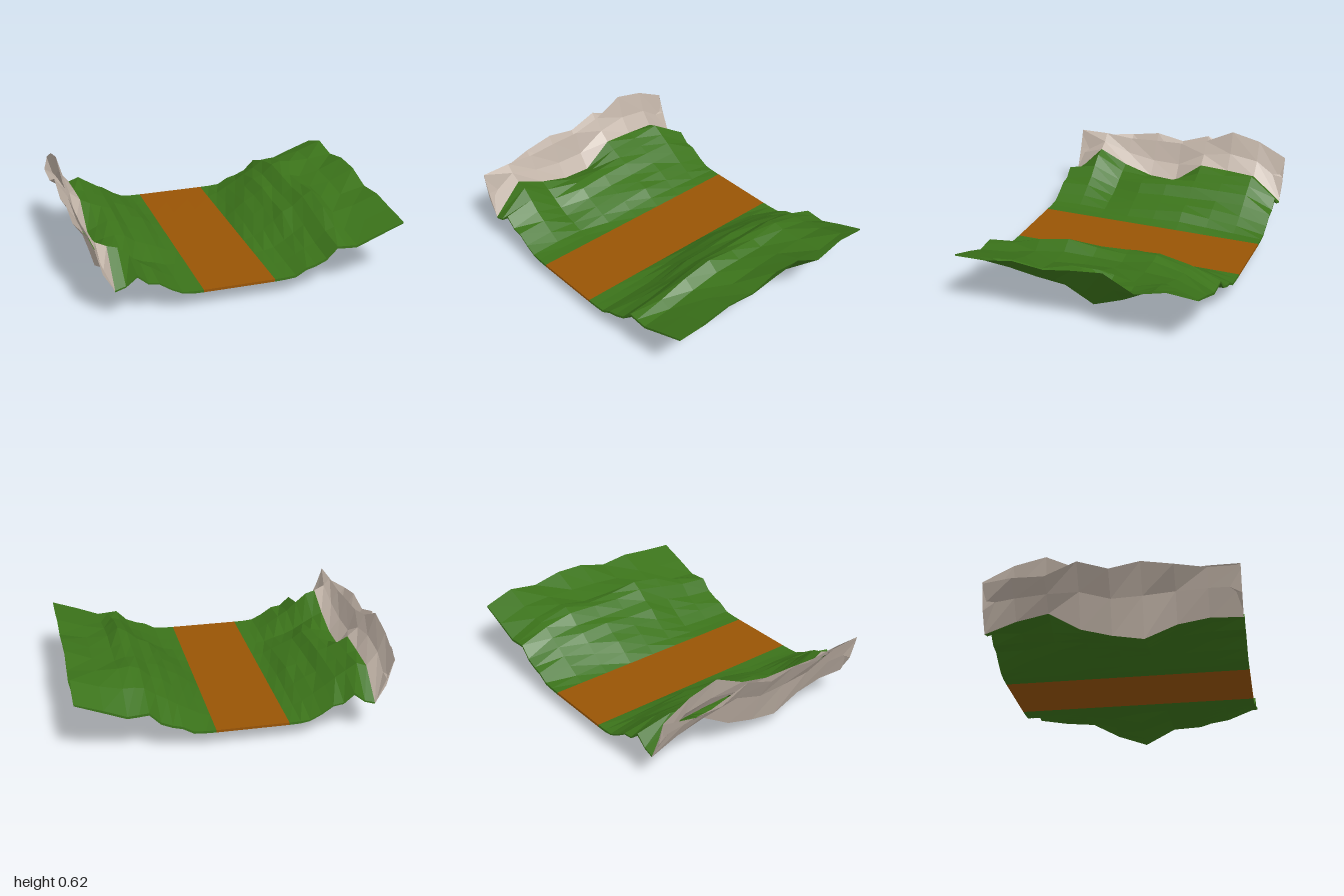
import * as THREE from 'three';

// Shared grid; the last row repeats the first so tiles join
const Z = [-0.77, -0.58, -0.385, -0.19, 0, 0.19, 0.385, 0.575, 0.77];
const LEFT_X = [-0.84, -0.775, -0.705, -0.64, -0.575, -0.5, -0.43, -0.37, -0.3];
const ROAD_X = [-0.3, -0.155, 0, 0.155];
const RIGHT_X = [0.155, 0.22, 0.29, 0.36, 0.42, 0.49, 0.56, 0.62, 0.69, 0.83, 1];

// Upper ground layer: heights per row from back to front
const UPPER = {
  roadY: 0.119,
  left: [
    [0.20, 0.22, 0.28, 0.22, 0.21, 0.16, 0.125, 0.12],
    [0.36, 0.385, 0.34, 0.30, 0.25, 0.20, 0.16, 0.13],
    [0.375, 0.36, 0.33, 0.30, 0.25, 0.22, 0.18, 0.14],
    [0.385, 0.35, 0.32, 0.30, 0.24, 0.22, 0.20, 0.15],
    [0.24, 0.27, 0.30, 0.29, 0.235, 0.21, 0.18, 0.14],
    [0.25, 0.27, 0.28, 0.27, 0.22, 0.19, 0.16, 0.13],
    [0.31, 0.28, 0.24, 0.20, 0.17, 0.15, 0.125, 0.12],
    [0.40, 0.38, 0.32, 0.26, 0.22, 0.17, 0.13, 0.12],
  ],
  right: [
    [0.12, 0.125, 0.165, 0.18, 0.21, 0.28, 0.275, 0.27, 0.325, 0.385],
    [0.14, 0.18, 0.22, 0.26, 0.30, 0.35, 0.36, 0.36, 0.39, 0.45],
    [0.15, 0.20, 0.25, 0.30, 0.325, 0.39, 0.41, 0.40, 0.40, 0.42],
    [0.17, 0.225, 0.26, 0.31, 0.32, 0.38, 0.38, 0.36, 0.39, 0.46],
    [0.16, 0.21, 0.25, 0.29, 0.32, 0.37, 0.39, 0.36, 0.38, 0.455],
    [0.14, 0.18, 0.23, 0.29, 0.32, 0.38, 0.415, 0.36, 0.36, 0.40],
    [0.125, 0.14, 0.18, 0.22, 0.27, 0.34, 0.38, 0.33, 0.36, 0.42],
    [0.12, 0.13, 0.17, 0.20, 0.23, 0.30, 0.32, 0.29, 0.34, 0.40],
  ],
  ridgeX: [-0.95, -0.95, -0.95, -0.95, -0.95, -0.95, -0.95, -0.95, -0.95],
  ridgeY: [0.485, 0.58, 0.625, 0.53, 0.485, 0.48, 0.47, 0.485, 0.485],
  cliffBend: 0.4,
};

// Lower layer forming the underside
const LOWER = {
  roadY: 0.103,
  left: [
    [0.19, 0.21, 0.265, 0.21, 0.20, 0.15, 0.115, 0.105],
    [0.26, 0.27, 0.25, 0.22, 0.20, 0.16, 0.13, 0.11],
    [0.30, 0.28, 0.24, 0.21, 0.18, 0.15, 0.13, 0.11],
    [0.18, 0.19, 0.19, 0.19, 0.18, 0.15, 0.12, 0.11],
    [0.125, 0.14, 0.15, 0.16, 0.16, 0.145, 0.12, 0.105],
    [0.09, 0.095, 0.11, 0.125, 0.13, 0.145, 0.12, 0.105],
    [0.17, 0.18, 0.19, 0.19, 0.165, 0.145, 0.12, 0.105],
    [0.20, 0.22, 0.24, 0.21, 0.19, 0.15, 0.12, 0.105],
  ],
  right: [
    [0.105, 0.11, 0.15, 0.165, 0.195, 0.265, 0.26, 0.255, 0.31, 0.375],
    [0.11, 0.12, 0.14, 0.16, 0.18, 0.21, 0.21, 0.22, 0.31, 0.39],
    [0.11, 0.12, 0.13, 0.14, 0.15, 0.17, 0.18, 0.20, 0.27, 0.34],
    [0.11, 0.11, 0.10, 0.09, 0.09, 0.08, 0.07, 0.10, 0.24, 0.44],
    [0.11, 0.10, 0.06, 0.04, 0.055, 0.025, 0, 0.03, 0.19, 0.42],
    [0.11, 0.11, 0.11, 0.11, 0.12, 0.12, 0.12, 0.13, 0.24, 0.39],
    [0.11, 0.11, 0.11, 0.11, 0.11, 0.11, 0.11, 0.15, 0.27, 0.41],
    [0.11, 0.115, 0.13, 0.14, 0.15, 0.17, 0.17, 0.18, 0.27, 0.38],
  ],
  ridgeX: [-0.95, -1, -1, -1, -1, -1, -1, -0.95, -0.95],
  ridgeY: [0.475, 0.47, 0.465, 0.55, 0.485, 0.52, 0.485, 0.475, 0.475],
  cliffBend: 0.58,
};

// Faceted sheet through rows of [x, y, z] points
function sheet(name, material, rows) {
  const columns = rows[0].length;
  const index = [];
  for (let i = 0; i < rows.length - 1; i++) {
    for (let j = 0; j < columns - 1; j++) {
      const a = i * columns + j;
      const c = a + columns;
      index.push(a, c, a + 1, a + 1, c, c + 1);
    }
  }
  const geometry = new THREE.BufferGeometry();
  geometry.setAttribute('position', new THREE.Float32BufferAttribute(rows.flat(2), 3));
  geometry.setIndex(index);
  const flat = geometry.toNonIndexed();
  flat.computeVertexNormals();
  const mesh = new THREE.Mesh(flat, material);
  mesh.name = name;
  return mesh;
}

function makeMaterial(name, color) {
  const material = new THREE.MeshStandardMaterial({ color, flatShading: true, side: THREE.DoubleSide });
  material.name = name;
  return material;
}

// Point rows of each part in one layer
function layerRows({ roadY, left, right, ridgeX, ridgeY, cliffBend }) {
  const rows = (xs, height) => Z.map((z, i) => xs.map((x, j) => [x, height(i % 8, j), z]));
  return {
    road: rows(ROAD_X, () => roadY),
    leftBank: rows(LEFT_X, (i, j) => left[i][j] ?? roadY),
    rightBank: rows(RIGHT_X, (i, j) => (j === 0 ? roadY : right[i][j - 1])),
    // Steep stone face from the ridge down to the left bank
    cliff: Z.map((z, i) => {
      const base = left[i % 8][0];
      return [
        [ridgeX[i], ridgeY[i], z],
        [-0.908, base + (ridgeY[i] - base) * cliffBend, z],
        [-0.84, base, z],
      ];
    }),
  };
}

export function createModel() {
  const grass = makeMaterial('grass green', 0x3b731a);
  const dirt = makeMaterial('dirt brown', 0x985405);
  const stone = makeMaterial('stone grey', 0xc2b4a8);
  const materials = { road: dirt, leftBank: grass, rightBank: grass, cliff: stone };

  const group = new THREE.Group();
  group.name = 'valleyRoad';
  const upper = layerRows(UPPER);
  const lower = layerRows(LOWER);
  const last = Z.length - 1;

  // Each part has a top, an underside and thin rims closing the two ends
  for (const [name, material] of Object.entries(materials)) {
    const part = new THREE.Group();
    part.name = name;
    part.add(
      sheet(`${name}Top`, material, upper[name]),
      sheet(`${name}Underside`, material, lower[name]),
      sheet(`${name}FrontRim`, material, [upper[name][last], lower[name][last]]),
      sheet(`${name}BackRim`, material, [lower[name][0], upper[name][0]]),
    );
    group.add(part);
  }
  return group;
}
